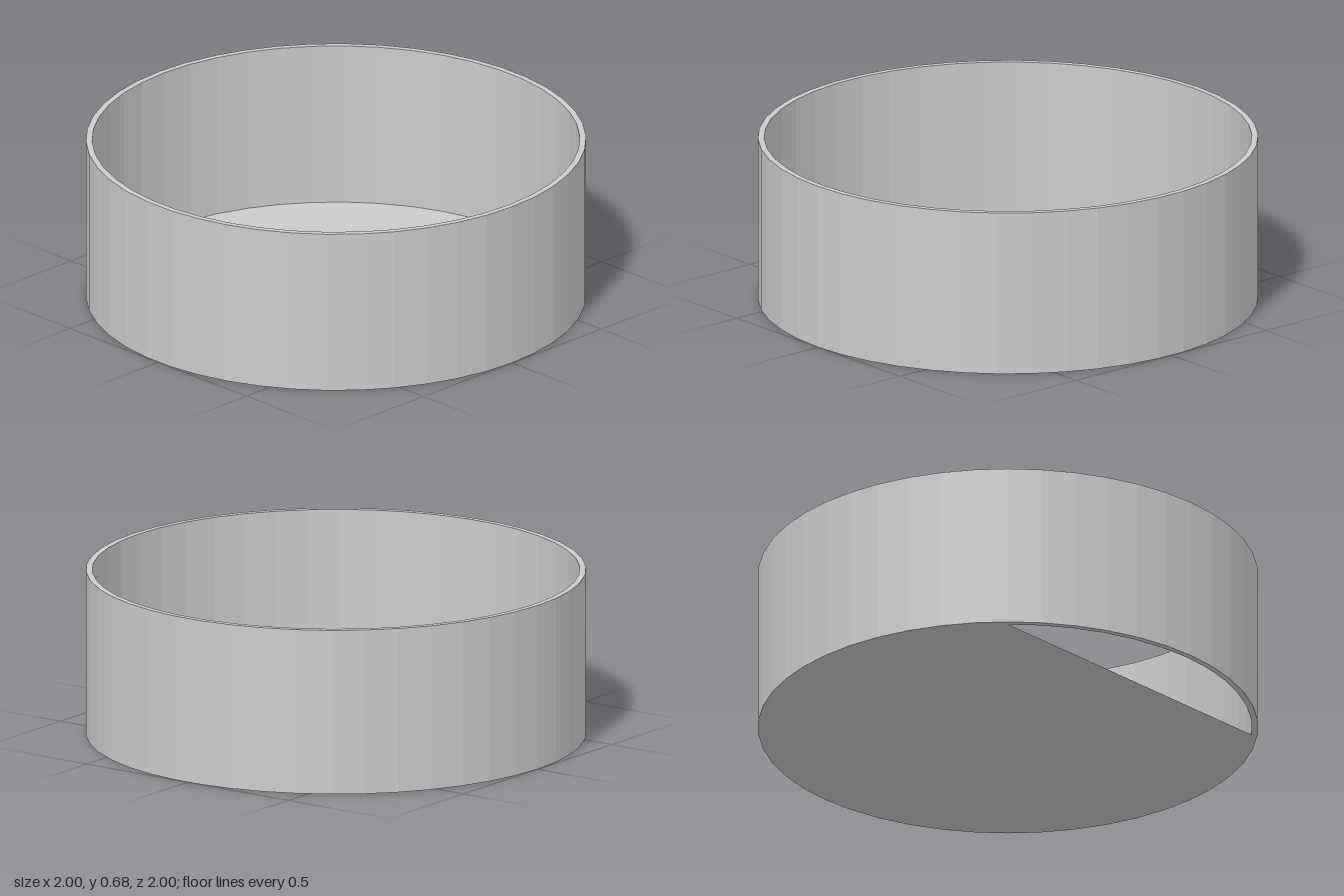
import * as THREE from 'three';

const SIDES = 46, OUTER = 1, INNER = 0.975, HEIGHT = 0.675;

export function createModel() {
  const model = new THREE.Group();
  const material = new THREE.MeshStandardMaterial({
    color: 0xcccccc, flatShading: true, side: THREE.DoubleSide,
  });

  // Thin round wall: closed rectangular section turned about y, with a corner on the x axis
  const section = [
    [INNER, 0], [OUTER, 0], [OUTER, HEIGHT], [INNER, HEIGHT], [INNER, 0],
  ].map(([r, y]) => new THREE.Vector2(r, y));
  const wall = new THREE.Mesh(
    new THREE.LatheGeometry(section, SIDES, Math.PI / 2, Math.PI * 2), material);
  wall.name = 'wall';
  model.add(wall);

  // Flat floor sharing the wall's inner corners, cut straight across near the front
  const corners = [];
  for (let k = 18; k <= SIDES + 6; k++) {
    const a = (k / SIDES) * Math.PI * 2;
    corners.push(new THREE.Vector2(INNER * Math.cos(a), INNER * Math.sin(a)));
  }
  const floorGeometry = new THREE.ShapeGeometry(new THREE.Shape(corners));
  floorGeometry.rotateX(Math.PI / 2);
  const floor = new THREE.Mesh(floorGeometry, material);
  floor.name = 'floor';
  model.add(floor);

  return model;
}
